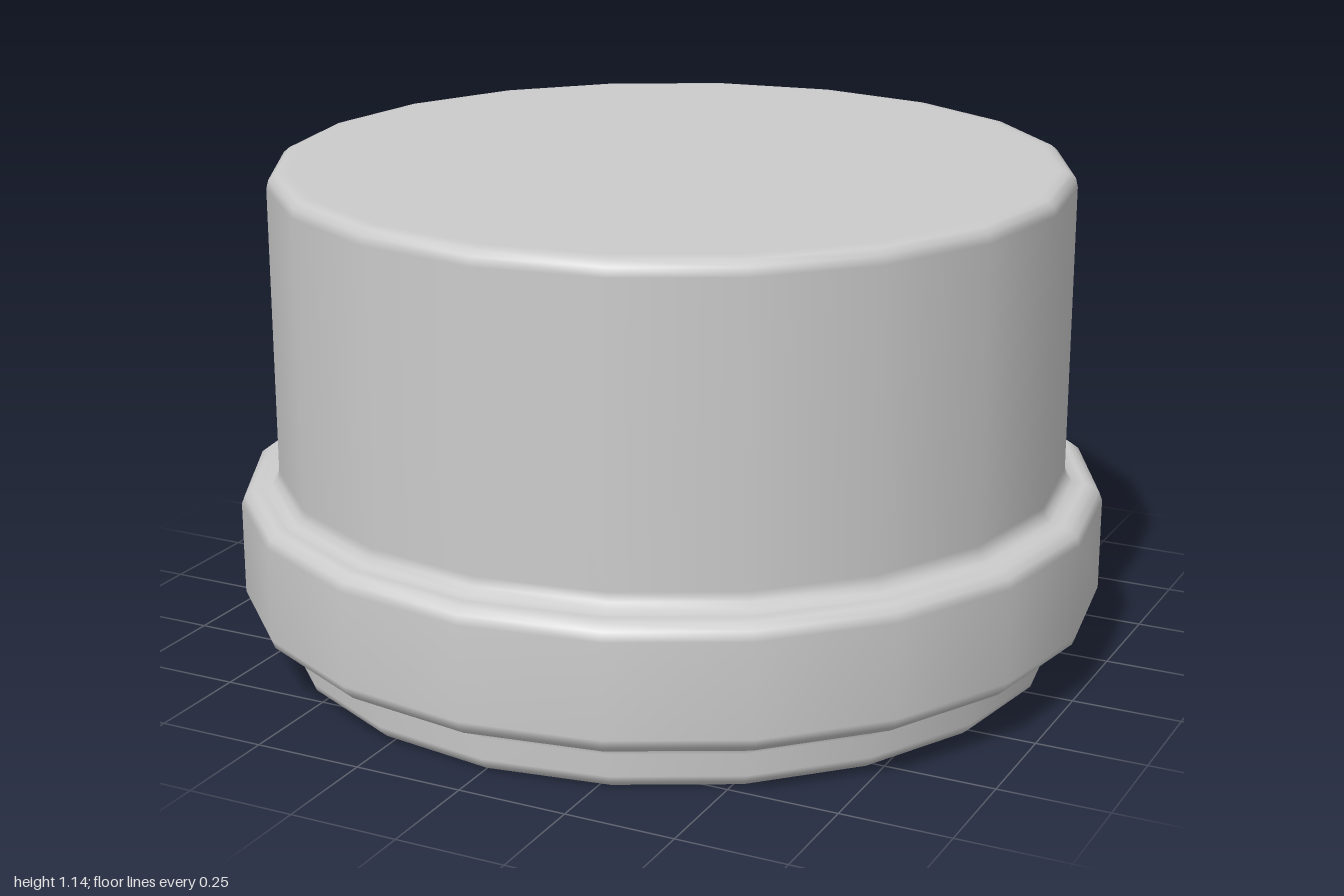
import * as THREE from 'three';

const SIDES = 20;

// Turned part from [radius, height] pairs listed bottom to top
function turned(name, profile) {
  const points = profile.map(([r, y]) => new THREE.Vector2(r, y));
  const mesh = new THREE.Mesh(
    new THREE.LatheGeometry(points, SIDES),
    new THREE.MeshStandardMaterial({ color: 0xcccccc })
  );
  mesh.name = name;
  return mesh;
}

export function createModel() {
  const group = new THREE.Group();
  group.name = 'flangedCap';

  // Closed underside and short foot, flaring into the collar
  group.add(turned('foot', [
    [0, 0], [0.87, 0], [0.885, 0.002], [0.9, 0.015], [0.905, 0.03],
    [0.905, 0.08], [0.91, 0.1], [0.925, 0.115], [0.95, 0.12],
  ]));

  // Wide collar with softened edges
  group.add(turned('collar', [
    [0.92, 0.115], [0.96, 0.117], [0.975, 0.12], [0.992, 0.135], [1, 0.155],
    [1, 0.37], [0.992, 0.39], [0.975, 0.403], [0.96, 0.407], [0.92, 0.408],
  ]));

  // Tall drum with a fillet at its base and a flat, rounded-off top
  group.add(turned('drum', [
    [0.95, 0.408], [0.93, 0.412], [0.917, 0.425], [0.912, 0.445],
    [0.912, 1.105], [0.907, 1.125], [0.893, 1.137], [0.875, 1.14], [0.86, 1.14], [0, 1.14],
  ]));

  return group;
}
